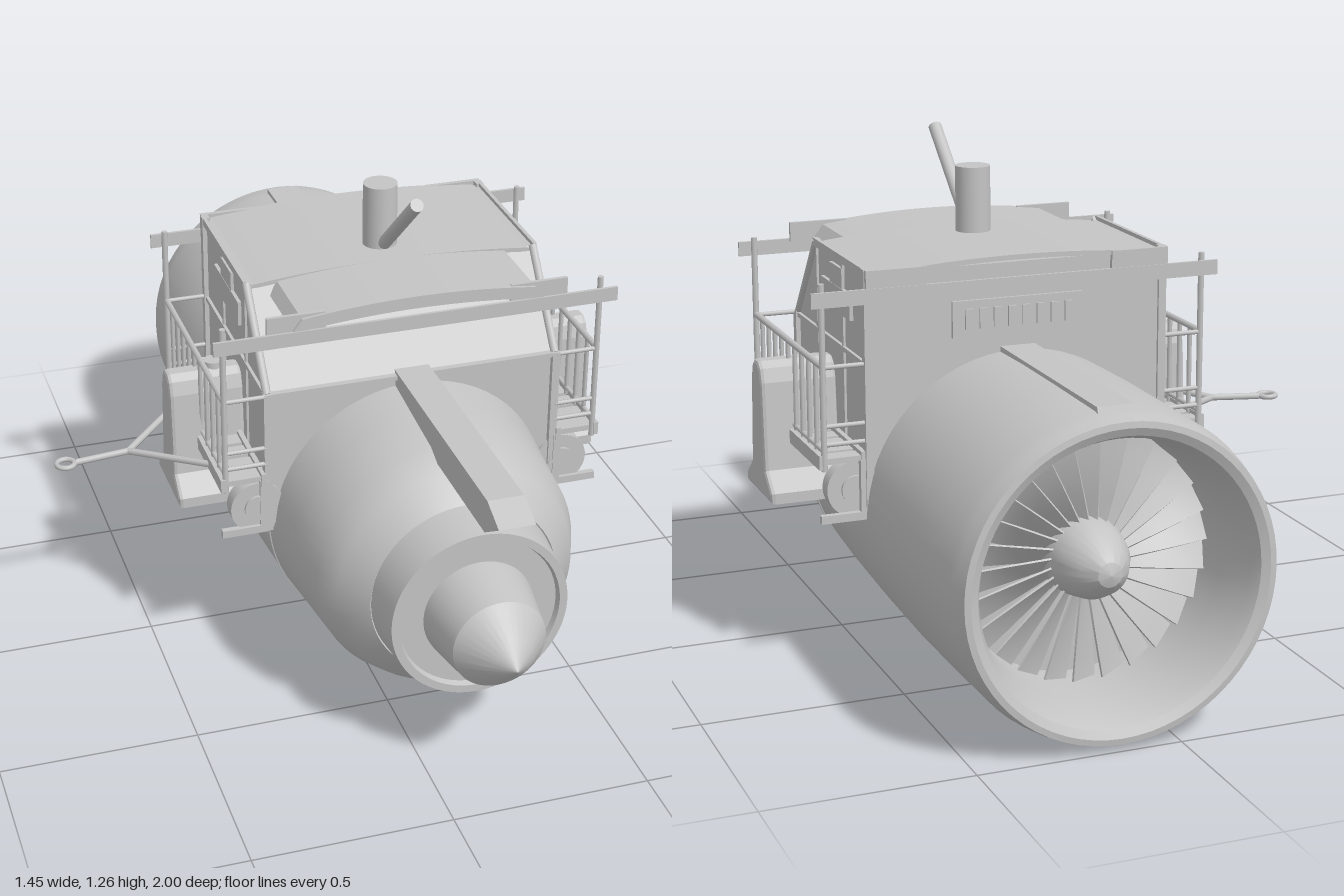
import * as THREE from 'three';
import { toCreasedNormals } from 'three/addons/utils/BufferGeometryUtils.js';

const CX = 0.147; // engine axis offset
const AY = 0.405; // engine axis height

export function createModel() {
  const model = new THREE.Group();
  const body = new THREE.Group();
  body.name = 'engineVehicle';
  body.position.x = CX;
  model.add(body);

  const grey = new THREE.MeshStandardMaterial({ color: 0xc4c4c4, side: THREE.DoubleSide });
  grey.name = 'plain grey';

  const add = (name, geo, x = 0, y = 0, z = 0) => {
    const m = new THREE.Mesh(geo, grey);
    m.name = name;
    m.position.set(x, y, z);
    body.add(m);
    return m;
  };
  const box = (name, x0, x1, y0, y1, z0, z1) =>
    add(name, new THREE.BoxGeometry(Math.abs(x1 - x0), y1 - y0, z1 - z0), (x0 + x1) / 2, (y0 + y1) / 2, (z0 + z1) / 2);
  const rod = (name, a, b, r, sides = 8) => {
    const p = new THREE.Vector3(...a), q = new THREE.Vector3(...b);
    const m = add(name, new THREE.CylinderGeometry(r, r, p.distanceTo(q), sides));
    m.position.copy(p).lerp(q, 0.5);
    m.quaternion.setFromUnitVectors(new THREE.Vector3(0, 1, 0), q.sub(p).normalize());
    return m;
  };
  // Extrudes a (z, y) outline along x between x0 and x1
  const sideProfile = (name, pts, x0, x1, bevel = 0) => {
    const shape = new THREE.Shape(pts.map(([z, y]) => new THREE.Vector2(-z, y)));
    const depth = Math.abs(x1 - x0) - 2 * bevel;
    const geo = new THREE.ExtrudeGeometry(shape, { depth, bevelEnabled: bevel > 0, bevelSize: bevel, bevelThickness: bevel, bevelOffset: -bevel, bevelSegments: 2 });
    geo.rotateY(Math.PI / 2);
    return add(name, geo, Math.min(x0, x1) + bevel);
  };
  const lathe = (name, pts) => {
    const geo = new THREE.LatheGeometry(pts.map(([r, z]) => new THREE.Vector2(r, z)), 64);
    geo.rotateX(Math.PI / 2);
    return add(name, toCreasedNormals(geo, 0.45), 0, AY, 0);
  };

  // Engine: intake duct, lip and outer cowl, then core and exhaust cone
  lathe('nacelle', [
    [0, -0.7], [0.31, -0.7], [0.315, -0.85], [0.332, -0.96], [0.345, -0.99], [0.365, -1], [0.38, -0.998],
    [0.388, -0.965], [0.394, -0.93], [0.396, -0.7], [0.396, -0.5], [0.39, -0.25], [0.38, 0], [0.368, 0.2],
    [0.352, 0.35], [0.337, 0.5], [0.305, 0.575], [0.24, 0.635]]);
  lathe('core', [[0.237, 0.63], [0.225, 0.75], [0.205, 0.75], [0.2, 0.735], [0.13, 0.735]]);
  lathe('exhaustCone', [[0.14, 0.73], [0.138, 0.75], [0.117, 0.88], [0.06, 0.945], [0, 1]]);
  lathe('cowlSeam', [[0.366, 0.19], [0.371, 0.192], [0.371, 0.198], [0.366, 0.2]]);

  // Fan
  lathe('spinner', [[0, -0.93], [0.03, -0.92], [0.06, -0.89], [0.085, -0.84], [0.098, -0.78], [0.098, -0.7]]);
  for (let i = 0; i < 26; i++) {
    const geo = new THREE.BoxGeometry(0.07, 0.215, 0.005, 1, 4, 1);
    const p = geo.attributes.position;
    for (let k = 0; k < p.count; k++) { // twist from root to tip
      const y = p.getY(k) + 0.1975;
      const a = 0.9 - (y - 0.09) * 2.4, x = p.getX(k), z = p.getZ(k);
      p.setXYZ(k, x * Math.cos(a) - z * Math.sin(a), y, x * Math.sin(a) + z * Math.cos(a));
    }
    geo.rotateZ((i / 26) * Math.PI * 2);
    geo.computeVertexNormals();
    add('fanBlade', geo, 0, AY, -0.77);
  }

  // Pylon along the top
  sideProfile('pylon', [[-0.95, 0.78], [-0.94, 0.808], [0.88, 0.808], [0.957, 0.775], [0.87, 0.718], [0.4, 0.718], [-0.93, 0.77]], -0.045, 0.045);

  // Cabin shell
  sideProfile('cabin', [[-0.35, 0.41], [0.23, 0.41], [0.23, 0.795], [0.05, 1.015], [-0.35, 1.015]], -0.38, 0.38);
  box('frontSill', -0.39, 0.39, 0.788, 0.8, 0.225, 0.243);
  box('rearPanel', -0.17, 0.17, 0.84, 0.93, -0.358, -0.35);
  for (let i = 0; i < 8; i++) box('rearVent', -0.14 + i * 0.037, -0.12 + i * 0.037, 0.86, 0.91, -0.364, -0.357);

  // Arched roof with a narrower front visor
  const roof = (name, w, edge, y, z0, z1) => {
    const s = new THREE.Shape();
    s.moveTo(-w, edge).lineTo(-w * 0.93, y - 0.02).quadraticCurveTo(0, y + 0.02, w * 0.93, y - 0.02)
      .lineTo(w, edge).lineTo(w * 0.9, edge).quadraticCurveTo(0, edge + 0.035, -w * 0.9, edge).closePath();
    add(name, new THREE.ExtrudeGeometry(s, { depth: z1 - z0, bevelEnabled: false, curveSegments: 16 }), 0, 0, z0);
  };
  roof('roof', 0.39, 1.005, 1.035, -0.365, 0.06);
  roof('roofVisor', 0.325, 0.985, 1.035, 0.06, 0.28);

  // Cross beams at the front and rear of the roof
  box('frontBeam', -0.525, 0.525, 0.945, 0.982, 0.27, 0.278);
  box('rearBeam', -0.525, 0.525, 0.945, 0.982, -0.372, -0.364);
  for (const s of [-1, 1]) {
    box('beamBracket', s * 0.24, s * 0.39, 0.975, 1.025, 0.262, 0.272);
    box('beamBracket', s * 0.24, s * 0.39, 0.975, 1.025, -0.37, -0.358);
  }

  // Exhaust stack and raised pipe
  rod('stack', [0, 1.02, -0.043], [0, 1.2, -0.043], 0.044, 32);
  rod('raisedPipe', [0, 1.05, -0.005], [0, 1.258, 0.237], 0.017, 16);

  for (const s of [-1, 1]) {
    // Cabin frame: corner posts, slanted windscreen pillar, belt line
    box('cabinCornerPost', s * 0.372, s * 0.392, 0.41, 0.8, 0.222, 0.245);
    box('cabinCornerPost', s * 0.372, s * 0.392, 0.41, 1.025, -0.358, -0.335);
    rod('windscreenPillar', [s * 0.381, 0.797, 0.232], [s * 0.381, 1.018, 0.055], 0.011);
    box('cabinBelt', s * 0.38, s * 0.388, 0.785, 0.797, -0.35, 0.235);
    box('cabinTopRail', s * 0.38, s * 0.39, 1.005, 1.025, -0.35, 0.06);
    box('cabinDoorEdge', s * 0.38, s * 0.386, 0.56, 1.01, 0.045, 0.055);
    box('cabinDoorEdge', s * 0.38, s * 0.386, 0.56, 1.01, -0.17, -0.16);
    box('sidePanel', s * 0.38, s * 0.389, 0.875, 0.94, -0.235, 0);
    box('sidePanelTop', s * 0.38, s * 0.388, 0.94, 0.99, -0.17, -0.07);

    // Slatted walkway
    for (const x of [0.39, 0.495]) box('walkwayBeam', s * x, s * (x + 0.012), 0.545, 0.58, -0.35, 0.25);
    for (let i = 0; i < 10; i++) {
      const z = -0.345 + i * 0.06;
      box('walkwaySlat', s * 0.385, s * 0.505, 0.555, 0.57, z, z + 0.046);
    }

    // Railing: tall corner posts, rails and balusters
    for (const z of [0.24, -0.345]) {
      rod('tallPost', [s * 0.493, 0.54, z], [s * 0.493, 0.998, z], 0.008);
      for (const y of [0.605, 0.65, 0.795]) rod('endRail', [s * 0.385, y, z], [s * 0.493, y, z], 0.006);
      box('footBracket', s * 0.385, s * 0.405, 0.41, 0.56, z - 0.008, z + 0.008);
      box('footPlate', s * 0.385, s * 0.505, 0.41, 0.43, z - 0.008, z + 0.008);
    }
    rod('handRail', [s * 0.493, 0.797, -0.345], [s * 0.493, 0.797, 0.24], 0.008);
    rod('lowerRail', [s * 0.493, 0.59, -0.345], [s * 0.493, 0.59, 0.24], 0.006);
    for (let i = 1; i < 10; i++) {
      const z = -0.345 + i * 0.0585;
      rod('baluster', [s * 0.493, 0.57, z], [s * 0.493, 0.797, z], 0.006, 6);
    }

    // Wheels under the walkway ends
    for (const z of [0.218, -0.3]) {
      rod('wheel', [s * 0.41, 0.48, z - 0.02], [s * 0.41, 0.48, z + 0.02], 0.07, 32);
      rod('wheelHub', [s * 0.41, 0.48, z - 0.028], [s * 0.41, 0.48, z + 0.028], 0.035, 20);
    }

    // Bell shaped side pod
    sideProfile('sidePod', [
      [-0.155, 0.408], [0.073, 0.408], [0.073, 0.435], [0.02, 0.48], [0.005, 0.7], [-0.006, 0.735], [-0.025, 0.75],
      [-0.057, 0.75], [-0.076, 0.735], [-0.087, 0.7], [-0.102, 0.48], [-0.155, 0.435]], s * 0.38, s * 0.574, 0.01);
  }
  rod('fillerCap', [-0.447, 0.745, -0.045], [-0.447, 0.765, -0.045], 0.024, 20);

  // Tow bar on the right side
  const joint = [-0.677, 0.53, -0.05];
  rod('towArm', joint, [-0.47, 0.56, -0.25], 0.009);
  rod('towArm', joint, [-0.47, 0.56, 0.15], 0.009);
  rod('towBar', joint, [-0.815, 0.52, -0.05], 0.009);
  const ring = add('towRing', new THREE.TorusGeometry(0.023, 0.007, 10, 28), -0.842, 0.52, -0.05);
  ring.rotation.x = Math.PI / 2;

  return model;
}
